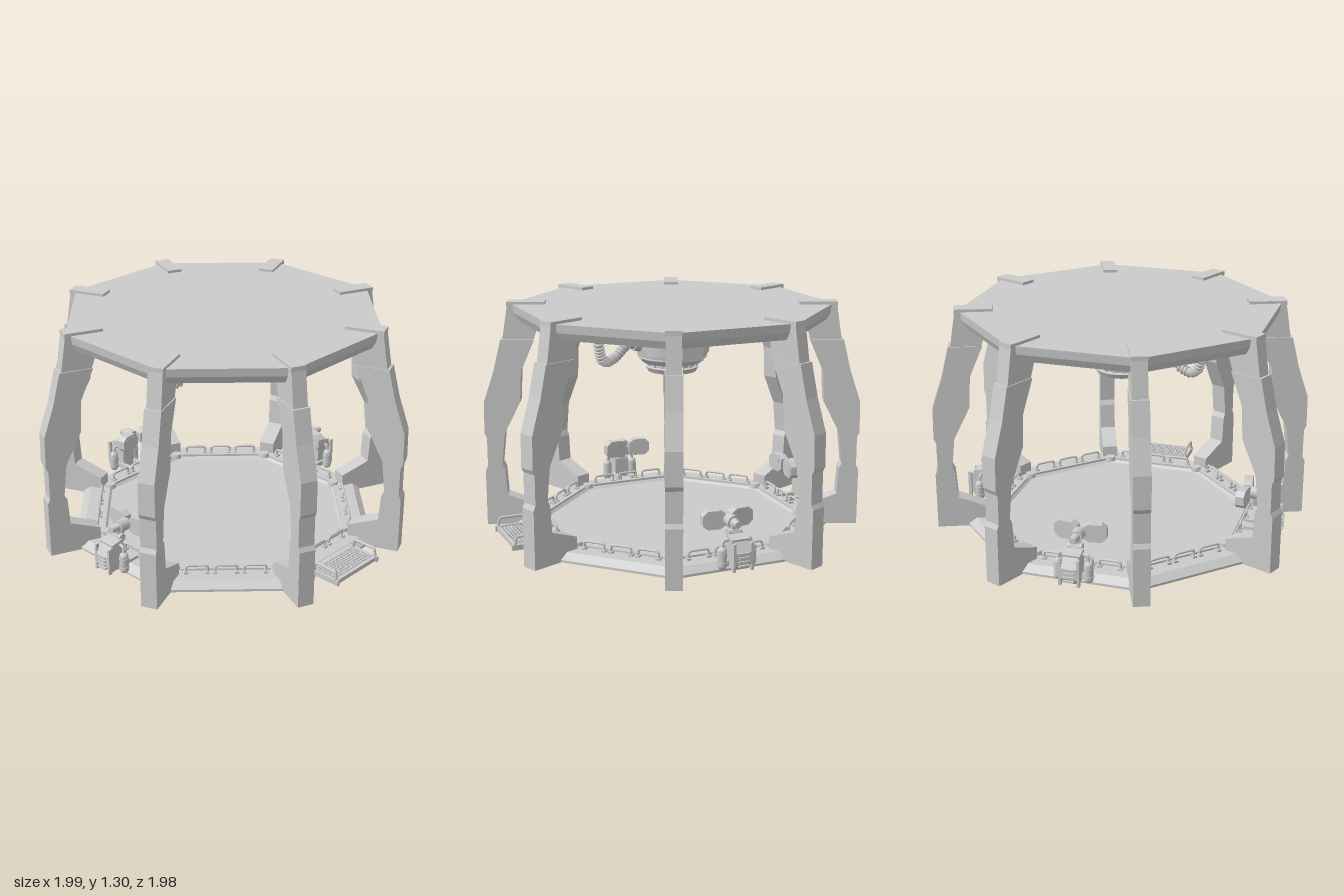
import * as THREE from 'three';
import { toCreasedNormals } from 'three/addons/utils/BufferGeometryUtils.js';

const flat = new THREE.MeshStandardMaterial({ color: 0xcccccc, flatShading: true, side: THREE.DoubleSide });
const smooth = new THREE.MeshStandardMaterial({ color: 0xcccccc, side: THREE.DoubleSide });
const V = (x, y, z) => new THREE.Vector3(x, y, z);

function add(parent, name, geo, pos = [0, 0, 0], rot = [0, 0, 0], mat = flat) {
  const m = new THREE.Mesh(geo, mat);
  m.name = name;
  m.position.set(...pos);
  m.rotation.set(...rot);
  parent.add(m);
  return m;
}
const box = (p, name, size, pos, rot) => add(p, name, new THREE.BoxGeometry(...size), pos, rot);
const cyl = (p, name, r1, r2, h, pos, rot, n = 16) =>
  add(p, name, toCreasedNormals(new THREE.CylinderGeometry(r1, r2, h, n), 0.7), pos, rot, smooth);

// Eight-sided solid or ring from [apothem, y] pairs, flats facing the axes
function octagon(p, name, pairs) {
  const pts = pairs.map(([a, y]) => new THREE.Vector2(a / Math.cos(Math.PI / 8), y));
  add(p, name, new THREE.LatheGeometry(pts, 8, Math.PI / 8), [0, 0, 0], [0, 0, 0], flat);
}
function lathe(p, name, pairs, n = 40) {
  const pts = pairs.map(([r, y]) => new THREE.Vector2(r, y));
  return add(p, name, toCreasedNormals(new THREE.LatheGeometry(pts, n), 0.5), [0, 0, 0], [0, 0, 0], smooth);
}
function slab(pairs, depth, holes = []) {
  const s = new THREE.Shape(pairs.map(([x, y]) => new THREE.Vector2(x, y)));
  s.holes = holes;
  const g = new THREE.ExtrudeGeometry(s, { depth, bevelEnabled: false });
  return g.translate(0, 0, -depth / 2);
}
// Group whose local +z points outward at the given angle
function outward(p, name, angle) {
  const g = new THREE.Group();
  g.name = name;
  g.rotation.y = angle;
  p.add(g);
  return g;
}
function tube(p, name, pts, r, seg = 24) {
  const c = new THREE.CatmullRomCurve3(pts, false, 'catmullrom', 0.25);
  add(p, name, new THREE.TubeGeometry(c, seg, r, 8), [0, 0, 0], [0, 0, 0], smooth);
  return c;
}

// Pillar side profiles as [radius, height]
const lower = [[1.055, 0.012], [1.055, 0.335], [1.042, 0.36], [1.042, 0.525], [1.055, 0.55], [0.94, 0.55],
  [0.96, 0.37], [0.945, 0.34], [0.935, 0.19], [0.765, 0.125], [0.765, 0.06], [0.72, 0.05], [0.72, 0.012]];
const middle = [[1.055, 0.55], [1.052, 0.73], [0.992, 0.91], [0.95, 1.085], [0.765, 1.085], [0.84, 0.91], [0.85, 0.73], [0.94, 0.55]];
const upper = [[0.938, 1.085], [0.905, 1.29], [0.73, 1.29], [0.73, 1.2], [0.77, 1.085]];

function pillar(parent, angle) {
  const g = outward(parent, 'pillar', angle);
  const turn = [0, -Math.PI / 2, 0];
  add(g, 'pillarFoot', slab(lower, 0.09), [0, 0, 0], turn);
  add(g, 'pillarMiddle', slab(middle, 0.092), [0, 0, 0], turn);
  add(g, 'pillarTop', slab(upper, 0.08), [0, 0, 0], turn);
  box(g, 'pillarCap', [0.085, 0.025, 0.21], [0, 1.283, 0.805]);
}

// Bent handle standing on a horizontal surface; dir -1 hangs it from the ceiling
function handle(p, x, y, z, len, h, dir = 1) {
  const a = len / 2, t = y + dir * h;
  tube(p, 'handle', [V(x - a, y, z), V(x - a, t - dir * 0.012, z), V(x - a + 0.012, t, z),
    V(x + a - 0.012, t, z), V(x + a, t - dir * 0.012, z), V(x + a, y, z)], 0.007);
  for (const s of [-1, 1]) box(p, 'handleFoot', [0.024, 0.012, 0.03], [x + s * a, y + dir * 0.005, z]);
}

// Ribbed hose from a ceiling flange to a socket on the hanging pod
function hose(p, pts) {
  const c = tube(p, 'hoseCore', pts, 0.021, 48);
  const n = 24, z = V(0, 0, 1);
  for (let i = 1; i < n; i++) {
    const rib = add(p, 'hoseRib', new THREE.TorusGeometry(0.021, 0.0085, 6, 14), c.getPointAt(i / n).toArray(), [0, 0, 0], smooth);
    rib.quaternion.setFromUnitVectors(z, c.getTangentAt(i / n));
  }
  cyl(p, 'hoseFlange', 0.05, 0.045, 0.025, [pts[0].x, 1.205, pts[0].z]);
  cyl(p, 'hoseFlangeNeck', 0.05, 0.036, 0.03, [pts[0].x, 1.18, pts[0].z]);
}

// Control station clamped to the rim, with a two-lobed console facing in
function station(parent, angle) {
  const g = outward(parent, 'station', angle);
  const body = [[0.81, 0.04], [0.9, 0.04], [0.935, 0.08], [0.935, 0.14], [0.9, 0.195], [0.83, 0.205], [0.81, 0.17]];
  add(g, 'stationBody', slab(body, 0.085), [0, 0, 0], [0, -Math.PI / 2, 0]);
  box(g, 'bodyTopPlate', [0.1, 0.02, 0.075], [0, 0.2, 0.865], [0.2, 0, 0]);
  for (let i = 0; i < 4; i++) box(g, 'ventRib', [0.06, 0.009, 0.014], [0, 0.07 + i * 0.022, 0.937]);
  for (const s of [-1, 1]) {
    add(g, 'sideTank', new THREE.CapsuleGeometry(0.025, 0.075, 6, 14), [s * 0.083, 0.095, 0.852], [0, 0, 0], smooth);
    for (const y of [0.07, 0.12]) cyl(g, 'tankBand', 0.028, 0.028, 0.01, [s * 0.083, y, 0.852]);
    tube(g, 'tankPipe', [V(s * 0.083, 0.155, 0.852), V(s * 0.075, 0.185, 0.85), V(s * 0.04, 0.19, 0.845)], 0.009);
    box(g, 'bodyRail', [0.014, 0.15, 0.02], [s * 0.05, 0.115, 0.925]);
    box(g, 'clamp', [0.025, 0.03, 0.12], [s * 0.045, 0.06, 0.79]);
    // Console lobe
    const lobe = [[0.015, 0.235], [0.045, 0.215], [0.115, 0.215], [0.142, 0.24], [0.142, 0.29], [0.115, 0.315], [0.045, 0.315], [0.015, 0.295]];
    add(g, 'consoleLobe', slab(lobe.map(([x, y]) => [s * x, y]), 0.05), [0, 0, 0.735], [0, s * 0.12, 0]);
    box(g, 'consoleScreen', [0.085, 0.065, 0.01], [s * 0.08, 0.265, 0.704], [0, s * 0.12, 0]);
    cyl(g, 'neckJoint', 0.022, 0.022, 0.02, [s * 0.03, 0.215, 0.82], [0, 0, Math.PI / 2]);
  }
  box(g, 'neck', [0.04, 0.07, 0.045], [0, 0.215, 0.82], [-0.4, 0, 0]);
  box(g, 'consoleArm', [0.03, 0.03, 0.1], [0, 0.25, 0.785]);
  cyl(g, 'consoleHub', 0.035, 0.035, 0.06, [0, 0.265, 0.785], [Math.PI / 2, 0, 0]);
  cyl(g, 'consoleLens', 0.018, 0.024, 0.05, [0, 0.265, 0.84], [Math.PI / 2, 0, 0]);
}

// Grated step beyond the rim
function step(parent) {
  const g = outward(parent, 'step', Math.PI / 2);
  const holes = [], nx = 17, ny = 8;
  for (let i = 0; i < nx; i++) for (let j = 0; j < ny; j++) {
    const h = new THREE.Path();
    h.absarc(-0.148 + i * 0.0185, 0.835 + j * 0.0185, 0.0073, 0, Math.PI * 2, true);
    h.curves[0].aClockwise = true;
    holes.push(h);
  }
  const s = new THREE.Shape([[-0.16, 0.8], [0.16, 0.8], [0.16, 0.98], [-0.16, 0.98]].map(a => new THREE.Vector2(...a)));
  s.holes = holes;
  const geo = new THREE.ExtrudeGeometry(s, { depth: 0.012, bevelEnabled: false, curveSegments: 6 });
  add(g, 'grating', geo, [0, 0.06, 0], [Math.PI / 2, 0, 0]);
  box(g, 'stepNose', [0.34, 0.024, 0.014], [0, 0.052, 0.985]);
  for (const sx of [-1, 1]) {
    box(g, 'stepEdge', [0.016, 0.03, 0.2], [sx * 0.167, 0.05, 0.9]);
    tube(g, 'stepRail', [V(sx * 0.167, 0.05, 0.83), V(sx * 0.167, 0.105, 0.84), V(sx * 0.167, 0.11, 0.86),
      V(sx * 0.167, 0.11, 0.95), V(sx * 0.167, 0.105, 0.975), V(sx * 0.167, 0.05, 0.985)], 0.008);
    box(g, 'stepBrace', [0.02, 0.02, 0.16], [sx * 0.12, 0.035, 0.88]);
  }
}

export function createModel() {
  const root = new THREE.Group();
  root.name = 'octagonalChamber';
  const m = new THREE.Group();
  m.name = 'chamber';
  m.position.x = -0.006;
  root.add(m);

  // Floor and roof
  octagon(m, 'floor', [[0, 0.012], [0.83, 0.012], [0.83, 0.025], [0.79, 0.058], [0.68, 0.058], [0.66, 0.04], [0, 0.04]]);
  octagon(m, 'roof', [[0, 1.235], [0.7, 1.235], [0.7, 1.195], [0.8, 1.195], [0.82, 1.235], [0.825, 1.28], [0, 1.28]]);
  octagon(m, 'ceilingTrim', [[0.63, 1.236], [0.63, 1.222], [0.64, 1.215], [0.68, 1.215], [0.705, 1.205], [0.705, 1.236]]);

  for (let k = 0; k < 8; k++) {
    pillar(m, Math.PI / 8 + k * Math.PI / 4);
    const side = outward(m, 'sideFittings', k * Math.PI / 4);
    for (const x of [-0.155, 0, 0.155]) handle(side, x, 0.058, 0.715, 0.115, 0.045);
    for (const z of [0.6, 0.66]) box(side, 'ceilingBar', [0.42, 0.014, 0.014], [0, 1.2, z]);
    for (const x of [-0.2, 0.2]) box(side, 'ceilingBracket', [0.025, 0.045, 0.09], [x, 1.215, 0.63]);
    for (let i = -4; i <= 4; i++) box(side, 'undersideClip', [0.036, 0.012, 0.014], [i * 0.056, 0.006, 0.64]);
    box(side, 'floorRail', [0.48, 0.012, 0.02], [0, 0.062, 0.68]);
    // Corner caps where floor and ceiling rails meet
    const corner = outward(m, 'corner', Math.PI / 8 + k * Math.PI / 4);
    cyl(corner, 'floorCornerCap', 0.028, 0.032, 0.025, [0, 0.065, 0.725], [0, 0, 0], 12);
    cyl(corner, 'ceilingCornerCap', 0.032, 0.026, 0.025, [0, 1.205, 0.68], [0, 0, 0], 12);
  }

  // Hanging pod
  const pod = outward(m, 'hangingPod', 0);
  lathe(pod, 'podBody', [[0, 0.925], [0.085, 0.925], [0.1, 0.905], [0.135, 0.905], [0.15, 0.932], [0.135, 0.938], [0.135, 0.95], [0.165, 0.958],
    [0.19, 0.985], [0.203, 1.04], [0.206, 1.09], [0.2, 1.15], [0.185, 1.19], [0.17, 1.2], [0.15, 1.236]]);
  for (const y of [0.99, 1.185]) add(pod, 'podSeam', new THREE.TorusGeometry(0.19, 0.006, 6, 40), [0, y, 0], [Math.PI / 2, 0, 0], smooth);
  add(pod, 'podLens', new THREE.SphereGeometry(0.08, 24, 8, 0, Math.PI * 2, 0, Math.PI / 2), [0, 0.93, 0], [Math.PI, 0, 0], smooth).scale.y = 0.3;
  for (let i = 0; i < 16; i++) {
    const b = outward(pod, 'lensBolt', i * Math.PI / 8);
    box(b, 'bolt', [0.018, 0.014, 0.012], [0, 0.946, 0.14]);
  }
  for (let k = 0; k < 4; k++) {
    const q = outward(pod, 'podPanel', Math.PI / 4 + k * Math.PI / 2);
    const panel = new THREE.CylinderGeometry(0.211, 0.206, 0.14, 10, 1, true, -0.35, 0.7);
    add(q, 'panel', panel, [0, 1.085, 0], [0, 0, 0], smooth);
  }
  box(pod, 'podHousing', [0.15, 0.16, 0.08], [0, 1.08, -0.22]);
  box(pod, 'housingPlate', [0.1, 0.11, 0.015], [0, 1.08, -0.262]);
  for (const a of [0, Math.PI / 2]) {
    const s = outward(pod, 'hoseSocket', a);
    cyl(s, 'socketBase', 0.05, 0.055, 0.04, [0, 1.08, 0.215], [Math.PI / 2, 0, 0]);
    cyl(s, 'socketRing', 0.034, 0.04, 0.03, [0, 1.08, 0.245], [Math.PI / 2, 0, 0]);
  }
  hose(pod, [V(-0.12, 1.2, 0.49), V(-0.115, 1.09, 0.485), V(-0.08, 0.99, 0.455), V(-0.03, 0.945, 0.4), V(0, 0.965, 0.33), V(0, 1.04, 0.28), V(0, 1.08, 0.24)]);
  hose(pod, [V(0.48, 1.2, -0.12), V(0.475, 1.1, -0.115), V(0.45, 1.02, -0.085), V(0.4, 0.99, -0.04), V(0.335, 1.01, -0.01), V(0.28, 1.06, 0), V(0.24, 1.08, 0)]);

  // Stations on three sides, step on the fourth
  for (const a of [0, Math.PI, -Math.PI / 2]) station(m, a);
  step(m);
  return root;
}
